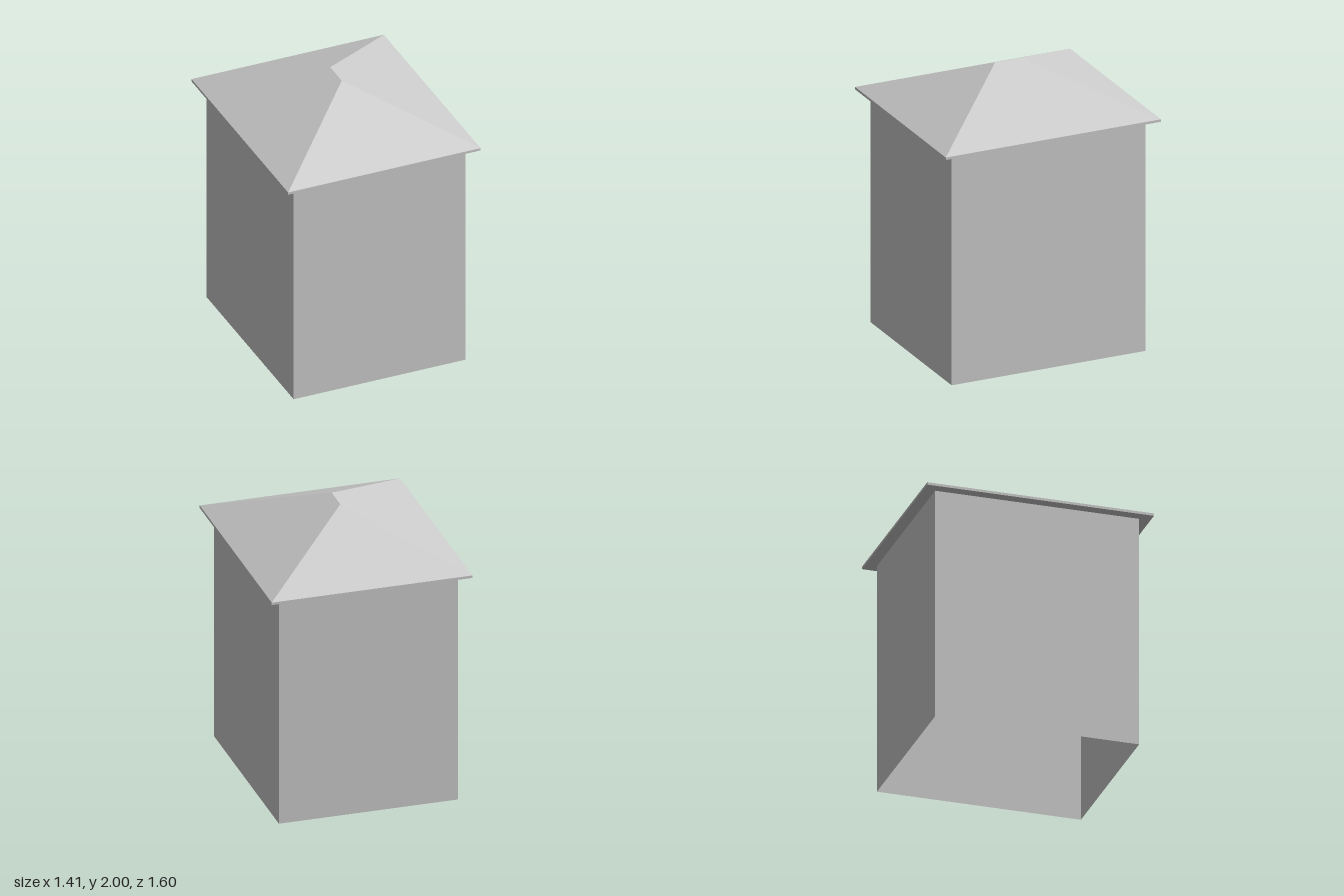
import * as THREE from 'three';

// Flat-shaded geometry from convex faces, each a list of [x, y, z] corners (counter-clockwise from outside)
function facets(faces) {
  const positions = [];
  for (const f of faces)
    for (let i = 1; i < f.length - 1; i++) positions.push(...f[0], ...f[i], ...f[i + 1]);
  const geometry = new THREE.BufferGeometry();
  geometry.setAttribute('position', new THREE.Float32BufferAttribute(positions, 3));
  geometry.computeVertexNormals();
  return geometry;
}

// Four corners of a horizontal rectangle, counter-clockwise seen from above
const ring = (x, y, z) => [[-x, y, z], [x, y, z], [x, y, -z], [-x, y, -z]];

// Vertical bands joining two rings
const band = (low, high) => low.map((p, i) => {
  const j = (i + 1) % 4;
  return [p, low[j], high[j], high[i]];
});

export function createModel() {
  const group = new THREE.Group();
  const plainGrey = new THREE.MeshStandardMaterial({ color: 0xcccccc, side: THREE.DoubleSide });
  plainGrey.name = 'plainGrey';

  const add = (name, faces) => {
    const mesh = new THREE.Mesh(facets(faces), plainGrey);
    mesh.name = name;
    group.add(mesh);
  };

  // Walls: thin shell, open underneath
  add('walls', band(ring(0.63, 0, 0.72), ring(0.63, 1.67, 0.72)));

  // Eaves: flat soffit with a narrow fascia
  const soffit = ring(0.706, 1.67, 0.8);
  const eave = ring(0.706, 1.688, 0.8);
  add('eaves', [[...soffit].reverse(), ...band(soffit, eave)]);

  // Hipped roof rising to a short ridge along z
  const [a, b, c, d] = eave;
  const ridgeFront = [0, 2, 0.095];
  const ridgeBack = [0, 2, -0.095];
  add('hippedRoof', [
    [a, b, ridgeFront],
    [b, c, ridgeBack, ridgeFront],
    [c, d, ridgeBack],
    [d, a, ridgeFront, ridgeBack],
  ]);

  return group;
}
